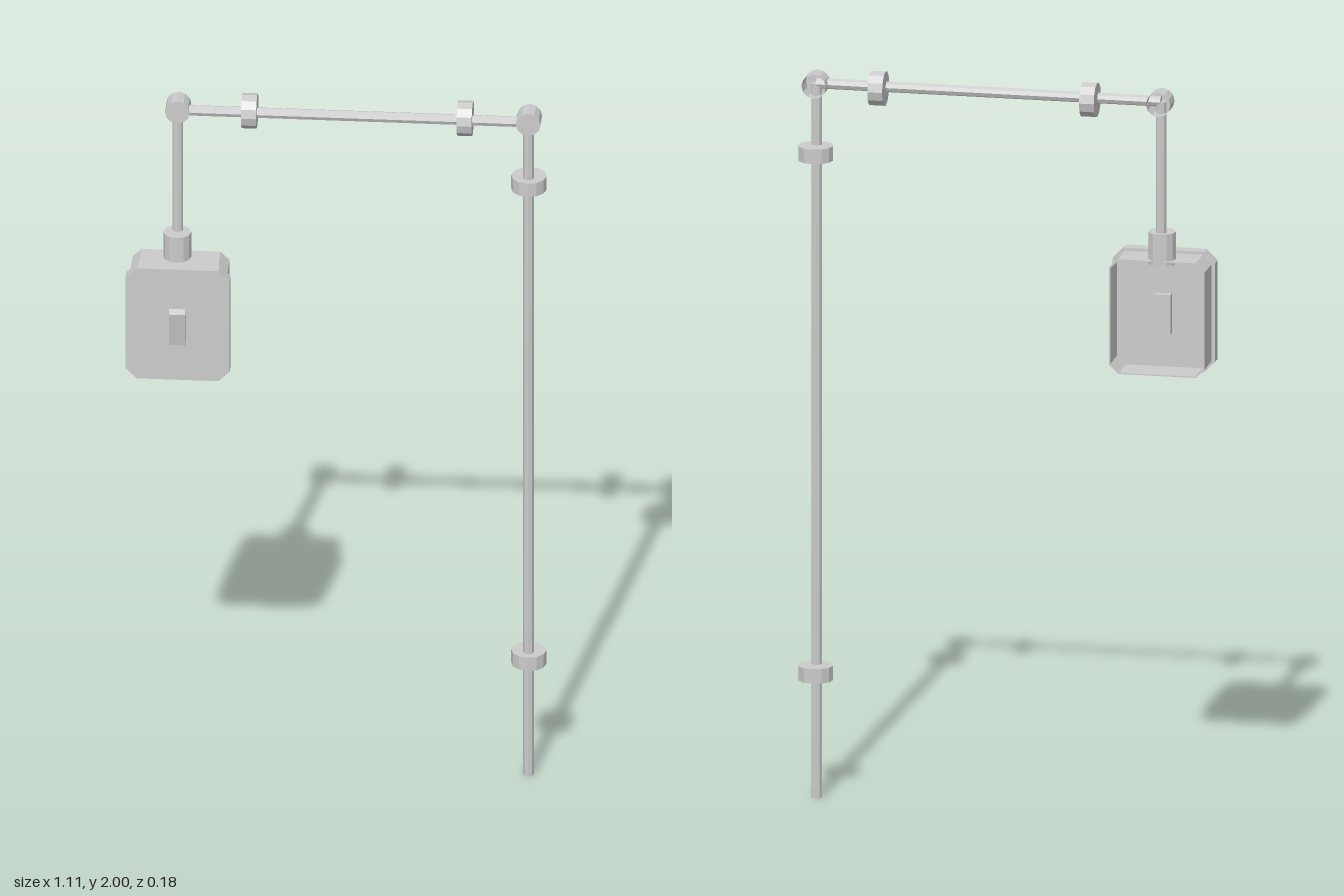
import * as THREE from 'three';

export function createModel() {
  const model = new THREE.Group();
  const material = new THREE.MeshStandardMaterial({ color: 0xcccccc, flatShading: true });
  const openMaterial = material.clone();
  openMaterial.side = THREE.DoubleSide;

  const dropX = -0.425, poleX = 0.506, barY = 1.956, pipeZ = -0.032;
  const boxX = -0.418, boxY = 1.366;

  function add(name, geometry, x, y, z, mat = material) {
    const mesh = new THREE.Mesh(geometry, mat);
    mesh.name = name;
    mesh.position.set(x, y, z);
    model.add(mesh);
    return mesh;
  }
  const cylinder = (r, h, sides, open = false) => new THREE.CylinderGeometry(r, r, h, sides, 1, open);

  // Rectangle outline with cut corners
  function cutRect(Type, w, h, c) {
    const a = w / 2, b = h / 2;
    return new Type([
      [-a + c, -b], [a - c, -b], [a, -b + c], [a, b - c],
      [a - c, b], [-a + c, b], [-a, b - c], [-a, -b + c],
    ].map(([x, y]) => new THREE.Vector2(x, y)));
  }
  const extrude = (shape, depth) => new THREE.ExtrudeGeometry(shape, { depth, bevelEnabled: false });

  // Pipe run: pole, crossbar and drop
  const pipeR = 0.0145;
  add('polePipe', cylinder(pipeR, barY, 8), poleX, barY / 2, pipeZ);
  add('crossPipe', cylinder(pipeR, poleX - dropX, 8), (poleX + dropX) / 2, barY, pipeZ).rotation.z = Math.PI / 2;
  add('dropPipe', cylinder(pipeR, barY - 1.55, 8), dropX, (barY + 1.55) / 2, pipeZ);

  // Clips, set back from the pipe
  const clip = cylinder(0.047, 0.04, 12);
  for (const y of [0.346, 1.769]) add('poleClip', clip, poleX, y, -0.045);
  for (const x of [-0.235, 0.337]) add('crossClip', clip, x, barY - 0.002, -0.045).rotation.z = Math.PI / 2;

  // Corner joints: short cups closed at the front, open at the back
  for (const x of [dropX, poleX]) {
    add('cornerJoint', cylinder(0.033, 0.056, 12, true), x, barY, -0.044, openMaterial).rotation.x = Math.PI / 2;
    add('cornerJointCap', new THREE.CircleGeometry(0.033, 12), x, barY, -0.016, openMaterial).rotation.z = Math.PI / 2;
  }

  // Socket where the drop pipe enters the box
  add('boxSocket', cylinder(0.037, 0.087, 12), dropX, 1.5535, -0.02);

  // Switch box: hollow body open at the back, with a wider front plate
  const body = cutRect(THREE.Shape, 0.258, 0.314, 0.024);
  body.holes.push(cutRect(THREE.Path, 0.252, 0.308, 0.023));
  add('boxBody', extrude(body, 0.092), boxX, boxY, -0.054);
  add('boxPlate', extrude(cutRect(THREE.Shape, 0.277, 0.33, 0.03), 0.034), boxX, boxY, 0.037);

  // Rocker: tilted wedge in front, plain block behind the plate
  const profile = new THREE.Shape([
    [0.015, 1.305], [0.071, 1.305], [0.089, 1.405], [0.071, 1.413], [0.015, 1.413],
  ].map(([z, y]) => new THREE.Vector2(-z, y)).reverse());
  const rocker = extrude(profile, 0.044);
  rocker.translate(0, 0, -0.022);
  rocker.rotateY(Math.PI / 2);
  add('rocker', rocker, boxX, 0, 0);

  return model;
}
